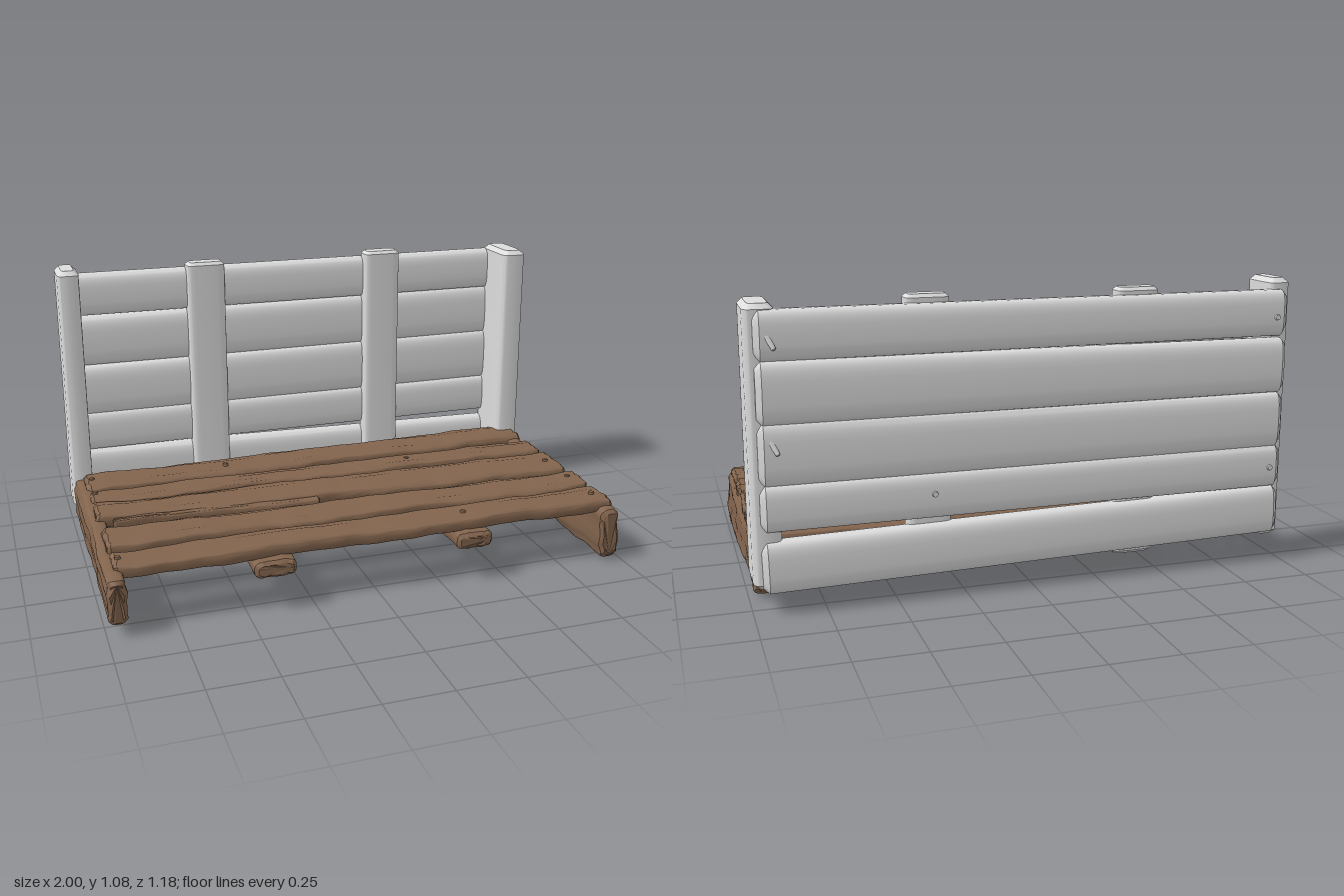
import * as THREE from 'three';
import { toCreasedNormals } from 'three/addons/utils/BufferGeometryUtils.js';

const greyPaint = new THREE.MeshStandardMaterial({ color: 0xdcdcdc });
greyPaint.name = 'pale grey';
const brownWood = new THREE.MeshStandardMaterial({ color: 0x82644d });
brownWood.name = 'weathered brown wood';

// Smooth repeatable wobble in the range -1..1
const wobble = (t, seed) =>
  0.5 * Math.sin(t * 5.3 + seed * 1.7) + 0.3 * Math.sin(t * 12.1 + seed * 3.1) + 0.2 * Math.sin(t * 27.7 + seed * 5.9);

// Board lofted from rounded cross-sections between two points.
// widths = width at each end, side = direction of the width, n = squareness of the section,
// rough = size of the wear, bevel = rounding of the ends.
function board(name, material, from, to, widths, thick, side, { n = 4, rough = 0, bevel = 0.012, seed = 1 } = {}) {
  const a = new THREE.Vector3(...from), b = new THREE.Vector3(...to);
  const length = a.distanceTo(b);
  const rings = rough ? 60 : 2, around = rough ? 40 : 32;
  const stations = [[0, 1]];
  for (let i = 0; i <= rings; i++) stations.push([bevel + (length - 2 * bevel) * i / rings, 0]);
  stations.push([length, 1]);

  const pos = [], index = [];
  const power = (v) => Math.sign(v) * Math.abs(v) ** (2 / n);
  for (const [x, isEnd] of stations) {
    const f = x / length;
    const half = (widths[0] + (widths[1] - widths[0]) * f) / 2 - isEnd * bevel;
    const halfT = thick / 2 - isEnd * bevel;
    for (let j = 0; j < around; j++) {
      const angle = (j / around) * Math.PI * 2;
      const cz = power(Math.cos(angle)), cy = power(Math.sin(angle));
      let z = cz * half, y = cy * halfT, px = x;
      if (rough) {
        z += cz * rough * wobble(x * 1.6, seed + (cz > 0 ? 0 : 7));
        y += rough * 0.35 * wobble(x * 1.3, seed + 3);
        // lengthwise grain ridges
        y += cy * rough * 0.22 * Math.sin(cz * 11 + seed + 1.5 * Math.sin(x * 6 + seed));
        // ragged ends
        if (f < 0.03 || f > 0.97) px += rough * 0.5 * wobble(cz * 1.5, seed + f * 4);
      }
      pos.push(px, y, z);
    }
  }
  const last = stations.length - 1;
  for (let i = 0; i < last; i++) {
    for (let j = 0; j < around; j++) {
      const k = (j + 1) % around;
      const p = i * around + j, q = i * around + k, r = p + around, s = q + around;
      index.push(p, r, s, p, s, q);
    }
  }
  for (let j = 1; j < around - 1; j++) {
    index.push(0, j, j + 1);
    index.push(last * around, last * around + j + 1, last * around + j);
  }
  let geometry = new THREE.BufferGeometry();
  geometry.setAttribute('position', new THREE.Float32BufferAttribute(pos, 3));
  geometry.setIndex(index);

  const X = b.clone().sub(a).normalize();
  const Z = new THREE.Vector3(...side).addScaledVector(X, -X.dot(new THREE.Vector3(...side))).normalize();
  const Y = Z.clone().cross(X);
  geometry.applyMatrix4(new THREE.Matrix4().makeBasis(X, Y, Z).setPosition(a));
  geometry = toCreasedNormals(geometry, 0.65);
  const mesh = new THREE.Mesh(geometry, material);
  mesh.name = name;
  return mesh;
}

function nail(name, material, x, y, z, radius, facing) {
  const mesh = new THREE.Mesh(new THREE.CylinderGeometry(radius * 0.8, radius, 0.012, 10), material);
  mesh.name = name;
  mesh.position.set(x, y, z);
  if (facing === 'back') mesh.rotation.x = -Math.PI / 2;
  return mesh;
}

function createBackPanel() {
  const group = new THREE.Group();
  group.name = 'backPanel';
  const alongZ = [0, 0, 1], alongX = [1, 0, 0], alongY = [0, 1, 0];

  // End posts
  group.add(board('rightPost', greyPaint, [-0.957, 0.1, -0.455], [-0.957, 1.09, -0.455], [0.17, 0.17], 0.085, alongZ, { n: 6, bevel: 0.018 }));
  group.add(board('leftPost', greyPaint, [0.943, 0.095, -0.44], [0.943, 1.068, -0.44], [0.225, 0.225], 0.105, alongZ, { n: 6, bevel: 0.018 }));

  // Upright battens
  group.add(board('rightBatten', greyPaint, [-0.392, 0.085, -0.5], [-0.392, 1.075, -0.5], [0.157, 0.157], 0.08, alongX, { n: 6 }));
  group.add(board('leftBatten', greyPaint, [0.378, 0.085, -0.495], [0.378, 1.078, -0.495], [0.155, 0.155], 0.08, alongX, { n: 6 }));

  // Horizontal planks: centre height and width at the right and left ends, depth
  const planks = [
    [0.963, 0.963, 0.172, 0.172, -0.533],
    [0.768, 0.773, 0.205, 0.215, -0.54],
    [0.56, 0.566, 0.21, 0.22, -0.534],
    [0.383, 0.38, 0.165, 0.165, -0.533],
    [0.21, 0.172, 0.185, 0.185, -0.533],
  ];
  planks.forEach(([yR, yL, wR, wL, z], i) => {
    group.add(board('backPlank' + (i + 1), greyPaint, [-0.978, yR, z], [0.965, yL, z], [wR, wL], 0.084, alongY, { n: 3.4, bevel: 0.02 }));
  });

  // Bent nails and nail heads on the rear face
  for (const y of [0.95, 0.6]) {
    group.add(board('bentNail', greyPaint, [0.935, y + 0.04, -0.56], [0.9, y - 0.03, -0.584], [0.02, 0.016], 0.014, alongX, { n: 2, bevel: 0.004 }));
  }
  for (const [x, y] of [[-0.93, 0.95], [-0.93, 0.38], [0.37, 0.39]]) {
    group.add(nail('rearNail', greyPaint, x, y, -0.576, 0.012, 'back'));
  }
  return group;
}

function createPlatform() {
  const group = new THREE.Group();
  group.name = 'platform';
  const alongZ = [0, 0, 1], alongX = [1, 0, 0], alongY = [0, 1, 0];

  // Deck planks: back and front edges at the right end, then at the left end
  const deck = [
    [-0.38, -0.21, -0.415, -0.25],
    [-0.18, -0.06, -0.19, -0.065],
    [-0.06, 0.09, -0.035, 0.175],
    [0.185, 0.35, 0.2, 0.355],
    [0.39, 0.53, 0.38, 0.53],
  ];
  deck.forEach(([r0, r1, l0, l1], i) => {
    group.add(board('deckPlank' + (i + 1), brownWood,
      [-0.955, 0.22 + (i % 2) * 0.003, (r0 + r1) / 2], [0.975, 0.22, (l0 + l1) / 2],
      [r1 - r0, l1 - l0], 0.056, alongZ, { n: 4, rough: 0.011, seed: i * 2.3 + 1 }));
  });
  // Split sliver along the middle plank
  group.add(board('splinter', brownWood, [-0.9, 0.218, 0.106], [-0.1, 0.218, 0.115], [0.022, 0.08], 0.04, alongZ, { rough: 0.006, seed: 5, bevel: 0.006 }));

  // Side boards standing on edge
  group.add(board('rightSideBoard', brownWood, [-0.955, 0.142, -0.4], [-0.958, 0.135, 0.588], [0.18, 0.165], 0.07, alongY, { n: 4, rough: 0.014, seed: 3 }));
  group.add(board('leftSideBoard', brownWood, [0.945, 0.132, -0.405], [0.952, 0.115, 0.572], [0.19, 0.205], 0.08, [0.06, -1, 0], { n: 4, rough: 0.014, seed: 8.4 }));

  // Bearers under the deck
  group.add(board('rightBearer', brownWood, [-0.393, 0.17, -0.43], [-0.393, 0.17, 0.57], [0.148, 0.148], 0.064, alongX, { n: 4, rough: 0.007, seed: 4 }));
  group.add(board('leftBearer', brownWood, [0.376, 0.17, -0.42], [0.376, 0.17, 0.572], [0.146, 0.146], 0.064, alongX, { n: 4, rough: 0.007, seed: 6 }));

  // Nail heads
  const nails = [
    [-0.928, -0.297], [-0.375, -0.295], [-0.935, -0.145], [0.37, -0.125], [0.92, 0.08],
    [0.92, 0.27], [0.92, 0.46], [0.365, 0.47], [-0.935, 0.465],
  ];
  for (const [x, z] of nails) group.add(nail('deckNail', brownWood, x, 0.25, z, 0.012, 'up'));
  return group;
}

export function createModel() {
  const model = new THREE.Group();
  model.name = 'plankBench';
  model.add(createBackPanel(), createPlatform());
  return model;
}
